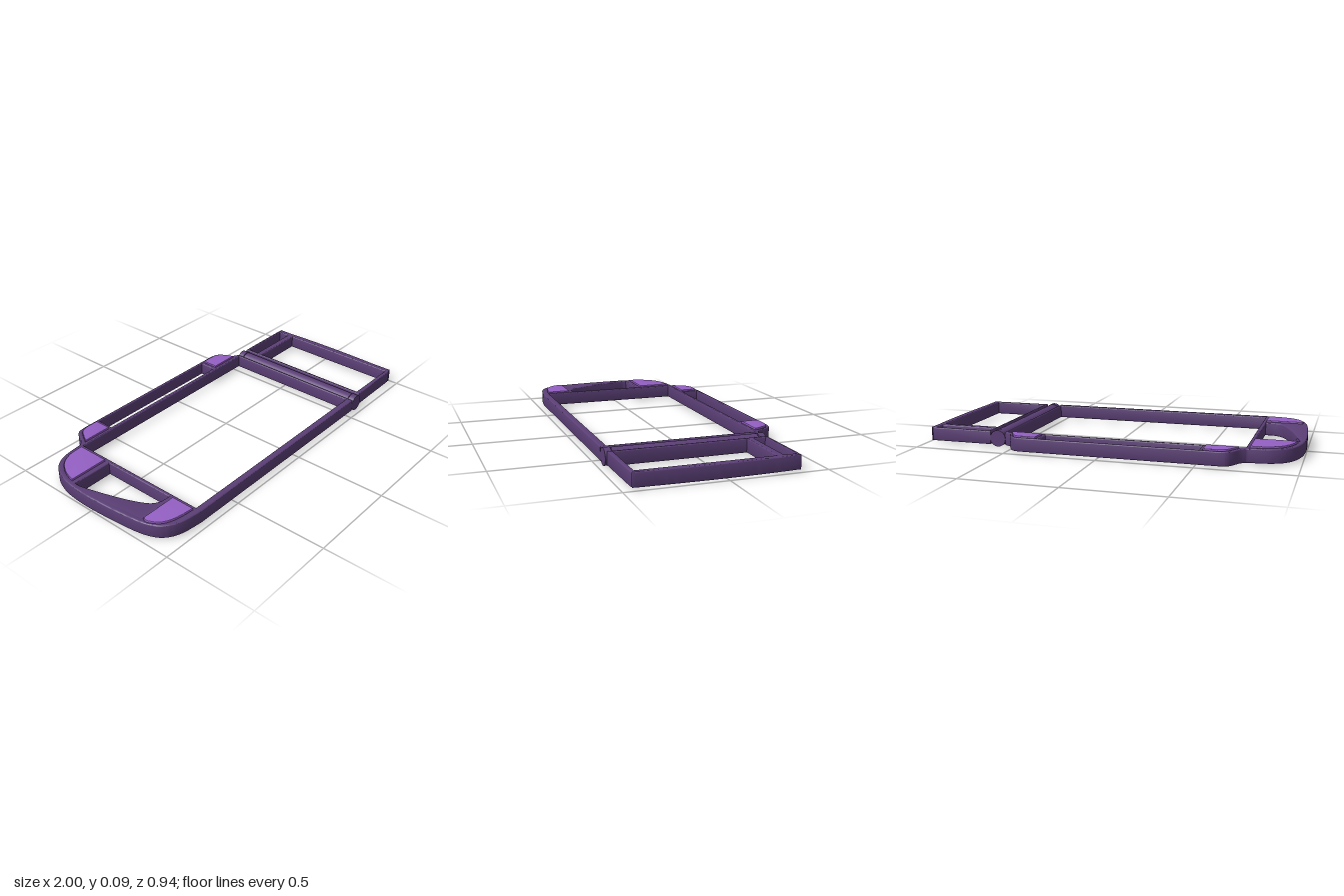
import * as THREE from 'three';
import { toCreasedNormals } from 'three/addons/utils/BufferGeometryUtils.js';

const FLOOR = 0.01, TOP = 0.083;

// Counter-clockwise closed outline from plan points (x, z).
// A nested list is a smooth curve through its points.
function trace(parts) {
  const path = new THREE.Path();
  const v = ([x, z]) => new THREE.Vector2(x, -z);
  parts.forEach((p, i) => {
    if (Array.isArray(p[0])) path.splineThru(p.map(v));
    else if (i === 0) path.moveTo(p[0], -p[1]);
    else path.lineTo(p[0], -p[1]);
  });
  const points = path.getPoints(8);
  return THREE.ShapeUtils.isClockWise(points) ? points.reverse() : points;
}

const rect = (x0, x1, z0, z1) => [[x0, z0], [x1, z0], [x1, z1], [x0, z1]];

// Flat plate between two heights with rounded edges
function plate(name, material, outline, holes, y0, y1, bevel) {
  const shape = new THREE.Shape(trace(outline));
  shape.holes = holes.map((h) => new THREE.Path(trace(h)));
  const geo = new THREE.ExtrudeGeometry(shape, {
    depth: y1 - y0 - 2 * bevel, bevelEnabled: true, bevelThickness: bevel,
    bevelSize: bevel, bevelOffset: -bevel, bevelSegments: 3,
  });
  geo.rotateX(-Math.PI / 2);
  geo.translate(0, y0 + bevel, 0);
  const mesh = new THREE.Mesh(toCreasedNormals(geo, 0.6), material);
  mesh.name = name;
  return mesh;
}

export function createModel() {
  const group = new THREE.Group();
  group.name = 'hingedFrame';
  const dark = new THREE.MeshStandardMaterial({ color: 0x5b3f76 });
  const light = new THREE.MeshStandardMaterial({ color: 0x9460c4 });

  // Raised panels, each covering a pocket of the same outline
  const pads = {
    gripPadBack: [[-0.75, -0.165], [-0.75, -0.342],
      [[-0.83, -0.335], [-0.9, -0.3], [-0.945, -0.235], [-0.965, -0.165]]],
    gripPadFront: [[-0.75, 0.305], [-0.945, 0.305],
      [[-0.95, 0.335], [-0.915, 0.39], [-0.85, 0.42], [-0.75, 0.433]]],
    shoulderPadRight: [[-0.537, -0.367], [-0.7, -0.367],
      [[-0.675, -0.41], [-0.65, -0.445], [-0.61, -0.46]], [-0.537, -0.46]],
    shoulderPadLeft: [[0.337, -0.367], [0.337, -0.46], [0.42, -0.46],
      [[0.46, -0.445], [0.485, -0.405], [0.502, -0.367]]],
  };

  // Main frame: side grip, rails and back shoulder
  const body = [
    [0.548, 0.47], [-0.73, 0.47],
    [[-0.85, 0.453], [-0.925, 0.41], [-0.965, 0.335], [-0.985, 0.22],
      [-0.998, 0.05], [-1, -0.08], [-0.985, -0.2], [-0.94, -0.3],
      [-0.86, -0.353], [-0.735, -0.37]],
    [[-0.708, -0.395], [-0.68, -0.445], [-0.655, -0.468], [-0.615, -0.475]],
    [0.42, -0.475],
    [[0.46, -0.465], [0.485, -0.435], [0.51, -0.385], [0.548, -0.362]],
  ];
  const gripOpening = [[-0.75, -0.135], [-0.968, -0.135],
    [[-0.967, -0.1], [-0.935, 0.02], [-0.89, 0.155], [-0.845, 0.245], [-0.8, 0.277]],
    [-0.75, 0.28]];
  const openings = [
    rect(-0.73, 0.534, -0.347, 0.435),
    rect(-0.518, 0.316, -0.46, -0.367),
    gripOpening,
    ...Object.values(pads),
  ];
  group.add(plate('mainFrame', dark, body, openings, FLOOR, TOP, 0.006));

  for (const [name, outline] of Object.entries(pads)) {
    group.add(plate(name, light, outline, [], 0.074, 0.09, 0.002));
  }

  // Folding side panel with a crossbar
  const panel = [
    [0.632, -0.365], [0.96, -0.365],
    [[0.976, -0.361], [0.985, -0.345], [0.994, -0.15], [0.996, 0.05], [0.992, 0.25],
      [0.984, 0.435], [0.976, 0.45], [0.96, 0.456]],
    [0.632, 0.461],
  ];
  group.add(plate('sidePanel', dark, panel, [
    rect(0.646, 0.957, -0.35, -0.287),
    rect(0.646, 0.957, -0.25, 0.435),
  ], FLOOR, TOP, 0.006));

  // Hinge barrel between two end knuckles, joined by a pin
  const addBarrel = (name, radius, z0, z1) => {
    const geo = new THREE.CylinderGeometry(radius, radius, z1 - z0, 32);
    geo.rotateX(Math.PI / 2);
    const mesh = new THREE.Mesh(geo, dark);
    mesh.name = name;
    mesh.position.set(0.59, 0.045, (z0 + z1) / 2);
    group.add(mesh);
  };
  addBarrel('hingeBarrel', 0.042, -0.327, 0.432);
  addBarrel('hingePin', 0.034, -0.36, 0.465);
  addBarrel('hingeKnuckleBack', 0.044, -0.365, -0.331);
  addBarrel('hingeKnuckleFront', 0.044, 0.436, 0.47);

  return group;
}
